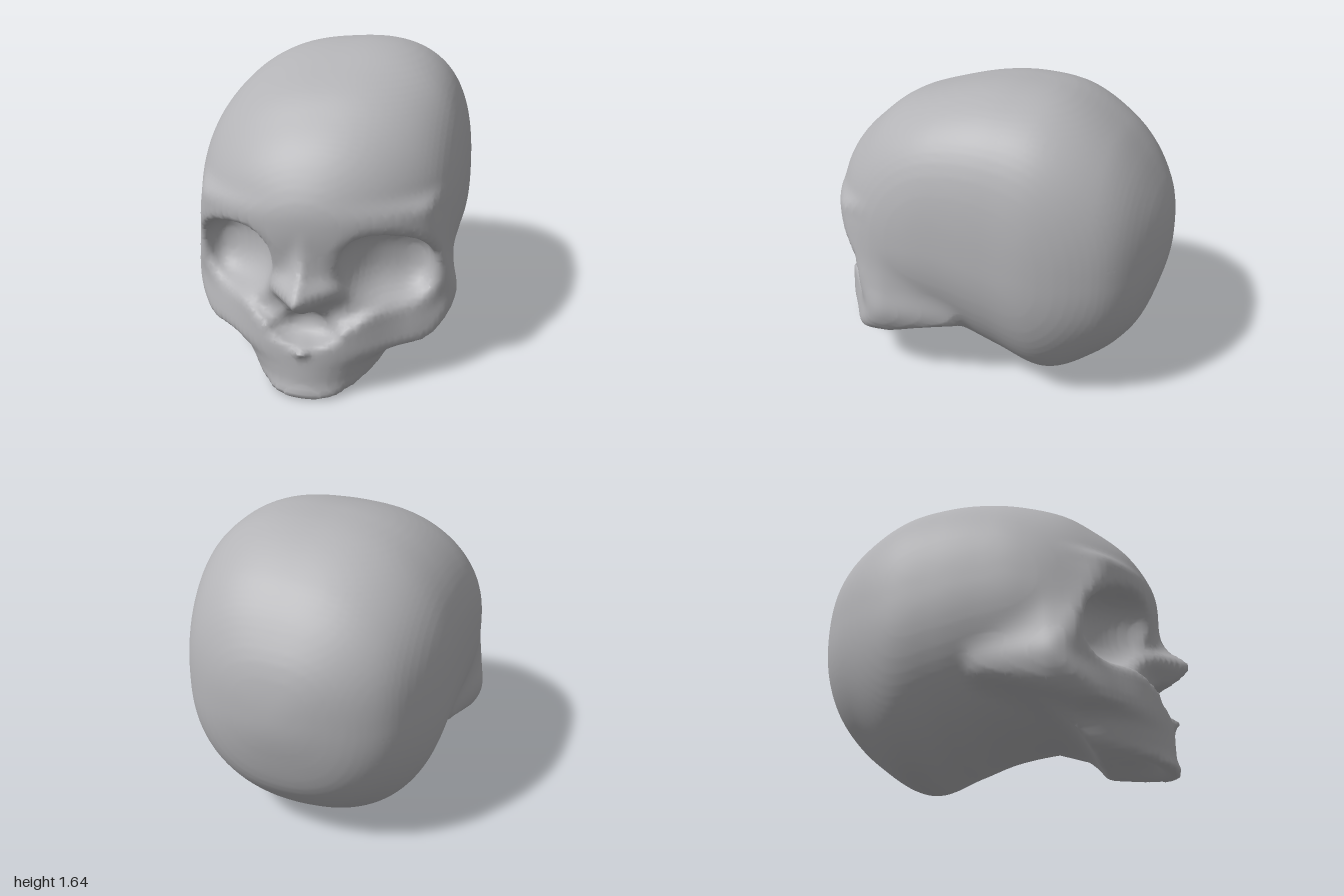
import * as THREE from 'three';

const { smoothstep, clamp } = THREE.MathUtils;

// smooth curve through rows of [position, value, value...]
function profile(rows) {
  const n = rows[0].length - 1;
  return new THREE.CubicInterpolant(
    rows.map((r) => r[0]), rows.flatMap((r) => r.slice(1)), n, new Float32Array(n));
}

// blended union, intersection and rounded pits of inside-negative fields
function join(a, b, k) {
  const h = Math.max(k - Math.abs(a - b), 0) / k;
  return Math.min(a, b) - h * h * k * 0.25;
}
const meet = (a, b, k) => -join(-a, -b, k);
const meetAll = (k, ...fields) => fields.reduce((a, b) => meet(a, b, k));
const carve = (a, pit, k) => meet(a, -pit, k);

function ellipsoid(x, y, z, rx, ry, rz, n = 2) {
  const s = Math.pow(Math.abs(x / rx), n) + Math.pow(Math.abs(y / ry), n) + Math.pow(Math.abs(z / rz), n);
  return (Math.pow(s, 1 / n) - 1) * Math.min(rx, ry, rz);
}

// braincase sections along z: top, bottom, half width; spaced by angle so both ends close round
const lengthAngle = (z) => Math.acos(clamp(-(z + 0.065) / 0.935, -1, 1));
const braincase = profile([
  [-1.0, 0.82, 0.82, 0.0], [-0.97, 1.05, 0.61, 0.23], [-0.90, 1.20, 0.39, 0.41],
  [-0.82, 1.32, 0.27, 0.52], [-0.71, 1.44, 0.16, 0.60], [-0.45, 1.60, 0.01, 0.695],
  [-0.20, 1.635, 0.09, 0.71], [0.0, 1.62, 0.16, 0.71], [0.25, 1.56, 0.20, 0.70],
  [0.45, 1.49, 0.20, 0.66], [0.60, 1.38, 0.30, 0.58], [0.72, 1.27, 0.48, 0.45],
  [0.82, 1.12, 0.70, 0.26], [0.87, 0.94, 0.94, 0.0],
].map(([z, ...section]) => [lengthAngle(z), ...section]));

// face by height: front z on the centre line, half width
const faceRows = profile([
  [0.20, 0.84, 0.55], [0.33, 0.82, 0.67], [0.45, 0.80, 0.71],
  [0.60, 0.82, 0.67], [0.75, 0.85, 0.62], [0.95, 0.87, 0.58],
]);

// nose ridge by height
const noseRidge = profile([
  [0.30, 0.74], [0.37, 0.82], [0.48, 0.91], [0.59, 1.02], [0.68, 0.93], [0.79, 0.865], [0.9, 0.84],
]);

// square across the crown, rounder at the forehead and below
function craniumField(x, y, z) {
  const [top, bottom, width] = braincase.evaluate(lengthAngle(z));
  const w = Math.max(width, 0.002);
  const h = Math.max((top - bottom) / 2, 0.002);
  const dy = y - 0.08 * x * smoothstep(y, 0.8, 1.5) - (top + bottom) / 2;
  const n = dy > 0 ? 2.6 - 0.5 * smoothstep(z, 0.1, 0.75) : 2.2;
  const s = Math.pow(Math.abs(x) / w, n) + Math.pow(Math.abs(dy) / h, n);
  return (Math.pow(s, 1 / n) - 1) * 0.4;
}

function faceField(ax, y, z) {
  const [front, width] = faceRows.evaluate(y);
  const w = width - 0.25 * Math.max(0, 0.38 - z);
  const underside = 0.235 + 0.35 * Math.max(0, 0.5 - z);
  return meetAll(0.05, (z - front + 0.68 * ax * ax) * 0.85, ax - w, underside - y, y - 1.0, -z);
}

function noseField(ax, y, z) {
  const ridge = noseRidge.evaluate(y)[0];
  return Math.max((z - ridge + 1.1 * ax) * 0.65, 0.33 - y, y - 0.88, 0.5 - z);
}

function upperJawField(ax, y, z) {
  const w = 0.33 + 0.5 * clamp(y - 0.05, 0, 0.22);
  const arch = (Math.hypot(ax / w, Math.max(0, z - 0.5) / 0.4) - 1) * 0.36;
  const flare = arch - 0.02 * smoothstep(0.1 - y, 0, 0.1);
  const underside = 0.42 * ax * ax + 0.12 * Math.max(0, 0.9 - z);
  const back = (0.55 - 0.7 * (y - 0.03) - z) * 0.8;
  return meetAll(0.025, flare, underside - y, (y - 0.29 - 0.5 * ax) * 0.8, back);
}

function skullField(x, y, z) {
  const ax = Math.abs(x);
  let f = join(craniumField(x, y, z), faceField(ax, y, z), 0.08);
  f = join(f, upperJawField(ax, y, z), 0.07);
  f = join(f, noseField(ax, y, z), 0.05);
  // eye sockets, turned outward and drooping at the outer corner
  const out = ax - 0.39;
  const socket = ellipsoid(out, y - 0.675 + 0.16 * out, Math.min(0, z - 0.72 + 0.48 * out), 0.22, 0.2, 0.22, 2.4);
  f = carve(f, socket, 0.06);
  // nasal opening, narrowing upward
  const nw = Math.max(0.05, 0.18 - 0.75 * Math.max(0, y - 0.35));
  f = carve(f, ellipsoid(x, y - 0.39, Math.min(0, z - 0.85), nw, 0.09, 0.1), 0.03);
  // small spine under the nasal opening
  f = join(f, ellipsoid(x, y - 0.275, z - 0.86, 0.04, 0.025, 0.075), 0.03);
  // hollow palate
  return carve(f, ellipsoid(x, y, z - 0.65, 0.2, 0.09, 0.18), 0.04);
}

// closed skin over a field: one vertex per crossed cell, one quad per crossed edge
function skin(field, min, size, step) {
  const n = size.map((s) => Math.ceil(s / step) + 1);
  const stride = [1, n[0], n[0] * n[1]];
  const values = new Float32Array(n[0] * n[1] * n[2]);
  const cells = new Int32Array(values.length).fill(-1);
  const positions = [];
  const index = [];
  const place = (p) => p.map((v, a) => min[a] + v * step);
  const each = (from, to, visit) => {
    for (let k = from; k < n[2] - to; k++)
      for (let j = from; j < n[1] - to; j++)
        for (let i = from; i < n[0] - to; i++) visit([i, j, k], i + j * stride[1] + k * stride[2]);
  };
  // halve the grid edge until the surface is found
  const crossing = (corner, axis, startsInside) => {
    let low = 0, high = 1;
    for (let i = 0; i < 6; i++) {
      const mid = (low + high) / 2;
      const inside = field(...place(corner.map((v, a) => (a === axis ? v + mid : v)))) < 0;
      if (inside === startsInside) low = mid;
      else high = mid;
    }
    return (low + high) / 2;
  };
  each(0, 0, (p, id) => {
    values[id] = field(...place(p));
  });
  each(0, 1, (p, id) => {
    const sum = [0, 0, 0];
    let count = 0;
    for (let corner = 0; corner < 8; corner++) {
      const bits = [corner & 1, (corner >> 1) & 1, corner >> 2];
      const c0 = id + bits[0] + bits[1] * stride[1] + bits[2] * stride[2];
      for (let a = 0; a < 3; a++) {
        const inside = values[c0] < 0;
        if (bits[a] || inside === values[c0 + stride[a]] < 0) continue;
        const t = crossing(p.map((v, b) => v + bits[b]), a, inside);
        for (let b = 0; b < 3; b++) sum[b] += bits[b] + (a === b ? t : 0);
        count++;
      }
    }
    if (!count) return;
    cells[id] = positions.length / 3;
    positions.push(...place(p.map((v, a) => v + sum[a] / count)));
  });
  each(1, 1, (p, id) => {
    for (let a = 0; a < 3; a++) {
      const inside = values[id] < 0;
      if (inside === values[id + stride[a]] < 0) continue;
      const sb = stride[(a + 1) % 3], sc = stride[(a + 2) % 3];
      const q = [cells[id - sb - sc], cells[id - sc], cells[id], cells[id - sb]];
      if (!inside) q.reverse();
      index.push(q[0], q[1], q[2], q[0], q[2], q[3]);
    }
  });
  const geometry = new THREE.BufferGeometry();
  geometry.setAttribute('position', new THREE.Float32BufferAttribute(positions, 3));
  geometry.setIndex(index);
  return geometry;
}

export function createModel() {
  const bone = new THREE.MeshStandardMaterial({ color: 0xb3b3b6 });
  bone.name = 'bone grey';

  const geometry = skin(skullField, [-0.8125, -0.1, -1.1], [1.625, 1.85, 2.2], 0.025);

  // stand on the ground, centred
  geometry.computeBoundingBox();
  const { min, max } = geometry.boundingBox;
  geometry.translate(-(min.x + max.x) / 2, -min.y, -(min.z + max.z) / 2);
  geometry.computeVertexNormals();

  const skull = new THREE.Mesh(geometry, bone);
  skull.name = 'skull';
  const model = new THREE.Group();
  model.name = 'skullWithoutLowerJaw';
  model.add(skull);
  return model;
}
